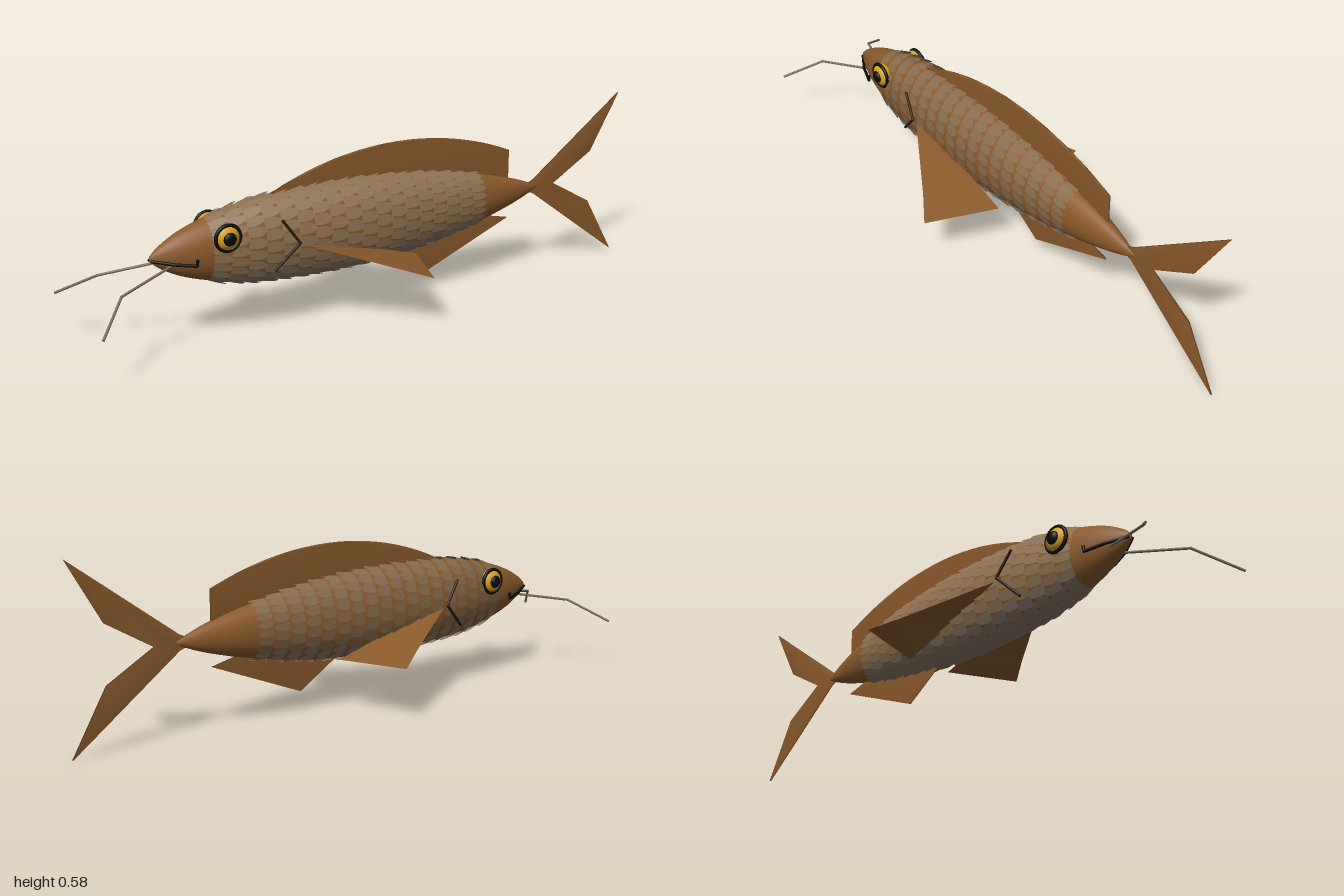
import * as THREE from 'three';
import { mergeVertices } from 'three/addons/utils/BufferGeometryUtils.js';

const mat = (name, color, side = THREE.FrontSide) => {
  const m = new THREE.MeshStandardMaterial({ color, side });
  m.name = name;
  return m;
};
const V = (x, y, z) => new THREE.Vector3(x, y, z);
const MID = 0.292, FLAT = 0.66; // body axis height, width to height ratio

export function createModel() {
  const group = new THREE.Group();
  const brown = mat('brown skin', 0x8b5a2b);
  const finBrown = mat('brown fin', 0x8b5a2b, THREE.DoubleSide);
  const tan = mat('tan scale', 0x8b7050, THREE.DoubleSide);
  const grey = mat('grey belly scale', 0x8a7866, THREE.DoubleSide);
  const black = mat('black', 0x0a0a0a);
  const gillBrown = mat('dark gill brown', 0x2a1a0e);
  const gold = mat('gold iris', 0xdaa01e);
  const barbelGrey = mat('barbel grey', 0x7d6e60);

  const add = (name, geo, material, parent = group) => {
    const m = new THREE.Mesh(geo, material);
    m.name = name;
    parent.add(m);
    return m;
  };

  // Body: smooth spindle, taller than wide, nose towards -x
  const profile = new THREE.SplineCurve([
    [-0.77, 0.01], [-0.74, 0.035], [-0.68, 0.068], [-0.6, 0.096], [-0.5, 0.119], [-0.4, 0.133],
    [-0.2, 0.143], [0, 0.139], [0.2, 0.12], [0.4, 0.084], [0.55, 0.044], [0.65, 0.006],
  ].map(([x, r]) => new THREE.Vector2(x, r)));
  const pts = profile.getPoints(48);
  const radius = (x) => {
    const i = Math.max(1, pts.findIndex((p) => p.x >= x));
    const a = pts[i - 1], b = pts[i];
    return a.y + (b.y - a.y) * (x - a.x) / (b.x - a.x);
  };
  const lathe = [new THREE.Vector2(0, -0.772), ...pts.map((p) => new THREE.Vector2(p.y, p.x)), new THREE.Vector2(0, 0.652)];
  const bodyGeo = new THREE.LatheGeometry(lathe, 36);
  bodyGeo.rotateZ(-Math.PI / 2).scale(1, 1, FLAT).translate(0, MID, 0);
  add('body', bodyGeo, brown);

  // Scales: staggered rings of small rounded plates with lifted rear edges,
  // crowded along back and belly, spaced so skin shows between them on the flanks
  const surface = (x, a) => V(x, MID + Math.cos(a) * radius(x), Math.sin(a) * radius(x) * FLAT);
  const scales = new THREE.Group();
  scales.name = 'scales';
  group.add(scales);
  const COLS = 18, AROUND = 22;
  for (let c = 0; c < COLS; c++) {
    const x = -0.57 + c * 0.055;
    for (let k = 0; k < AROUND; k++) {
      const a = (k + (c % 2) / 2) / AROUND * Math.PI * 2;
      const p = surface(x, a);
      const along = surface(x + 0.01, a).sub(surface(x - 0.01, a)).normalize();
      const across = surface(x, a - 0.05).sub(surface(x, a + 0.05)).normalize();
      const out = along.clone().cross(across).normalize();
      if (out.y * (p.y - MID) + out.z * p.z < 0) {
        out.negate();
        across.negate();
      }
      const geo = new THREE.CircleGeometry(1, 12);
      geo.scale(0.036, 0.13 * radius(x), 1).rotateY(-0.16);
      geo.applyMatrix4(new THREE.Matrix4().makeBasis(along, across, out).setPosition(p.addScaledVector(out, 0.003)));
      add('scale', geo, Math.cos(a) < -0.55 ? grey : tan, scales);
    }
  }

  // Flat fins on the centre plane, with softly shaded rims
  const fin = (name, shape) => {
    const geo = new THREE.ExtrudeGeometry(shape, { depth: 0.006, bevelEnabled: false, curveSegments: 20 });
    geo.deleteAttribute('normal');
    geo.deleteAttribute('uv');
    const smooth = mergeVertices(geo.translate(0, 0, -0.003), 1e-4);
    smooth.computeVertexNormals();
    add(name, smooth, brown);
  };
  const poly = (list) => new THREE.Shape(list.map(([x, y]) => new THREE.Vector2(x, y)));
  const dorsal = new THREE.Shape();
  dorsal.moveTo(-0.4, 0.415);
  dorsal.bezierCurveTo(-0.14, 0.55, 0.2, 0.58, 0.53, 0.44);
  dorsal.lineTo(0.53, 0.33);
  dorsal.lineTo(0.2, 0.38);
  fin('dorsalFin', dorsal);
  fin('tailFin', poly([[0.58, 0.29], [0.64, 0.318], [0.998, 0.581], [0.883, 0.385], [0.725, 0.292],
    [0.883, 0.202], [0.998, 0.002], [0.64, 0.268]]));
  fin('analFin', poly([[0.02, 0.185], [0.205, 0.068], [0.53, 0.2], [0.4, 0.23], [0.2, 0.22]]));

  // Straight round rods joined end to end
  const rods = (name, list, r, material) => {
    const g = new THREE.Group();
    g.name = name;
    group.add(g);
    for (let i = 1; i < list.length; i++) {
      const d = list[i].clone().sub(list[i - 1]);
      const geo = new THREE.CylinderGeometry(r, r, d.length() + r, 20);
      const m = add(name + 'Segment', geo, material, g);
      m.position.copy(list[i]).add(list[i - 1]).multiplyScalar(0.5);
      m.quaternion.setFromUnitVectors(V(0, 1, 0), d.normalize());
    }
  };

  for (const s of [1, -1]) {
    const side = s > 0 ? 'left' : 'right';
    const flank = (x, y, z) => V(x, y, z * s);
    // Paired side fin, folded across its middle
    const root = flank(-0.31, 0.285, 0.1), edge = flank(-0.06, 0.206, 0.254), tip = flank(0.03, 0.178, 0.315);
    const rear = flank(0.11, 0.172, 0.08), inner = flank(-0.06, 0.222, 0.08);
    const geo = new THREE.BufferGeometry().setFromPoints([root, inner, edge, inner, rear, edge, edge, rear, tip]);
    geo.computeVertexNormals();
    add(side + 'PectoralFin', geo, finBrown);

    // Eye: golden dome in a black ring, with a raised pupil
    const eye = new THREE.Group();
    eye.name = side + 'Eye';
    eye.position.set(-0.55, 0.342, 0.068 * s);
    eye.rotation.y = s > 0 ? 0 : Math.PI;
    group.add(eye);
    add('iris', new THREE.SphereGeometry(0.04, 32, 20).scale(1, 1, 0.65), gold, eye);
    add('eyeRim', new THREE.TorusGeometry(0.04, 0.006, 16, 40).translate(0, 0, 0.008), black, eye);
    add('pupil', new THREE.SphereGeometry(0.021, 24, 16).scale(1, 1, 0.6).translate(0, 0, 0.022), black, eye);

    // Gill line, mouth line and whisker
    rods(side + 'Gill', [flank(-0.375, 0.37, 0.092), flank(-0.322, 0.293, 0.104), flank(-0.4, 0.212, 0.084)], 0.0045, gillBrown);
    rods(side + 'Mouth', [flank(-0.768, 0.287, 0.008), flank(-0.71, 0.277, 0.042), flank(-0.648, 0.268, 0.064),
      flank(-0.645, 0.284, 0.064)], 0.005, black);
    rods(side + 'Barbel', [flank(-0.72, 0.268, 0.03), flank(-0.9, 0.235, 0.1), flank(-0.998, 0.163, 0.208)], 0.004, barbelGrey);
  }
  return group;
}
